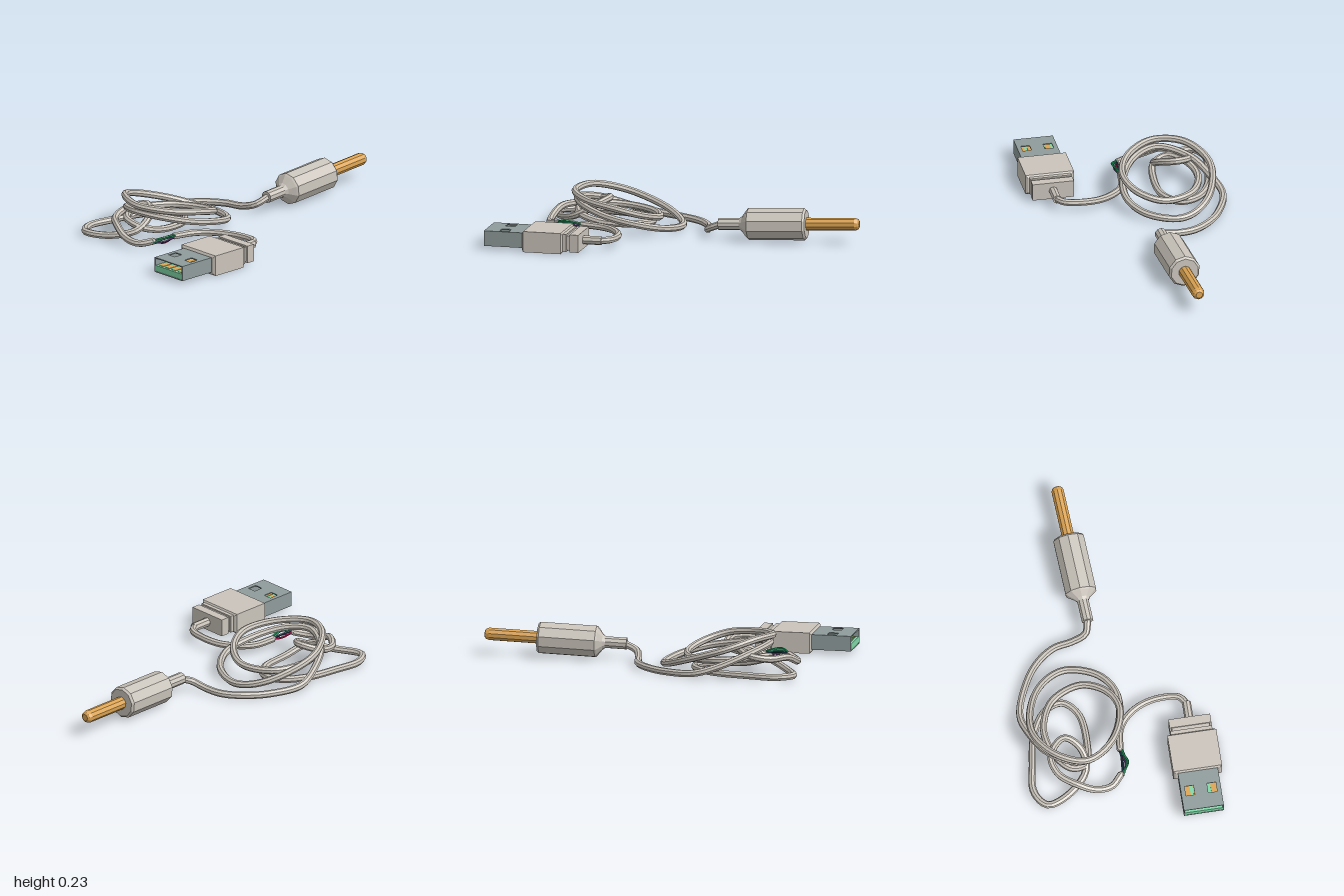
import * as THREE from 'three';

const mat = (color, extra = {}) => new THREE.MeshStandardMaterial({ color, flatShading: true, ...extra });
const GREY = mat(0xcac4bb), STEEL = mat(0x8f9b9b), GOLD = mat(0xdda452), GREEN = mat(0x80d8a8);

function add(parent, name, geometry, material, x = 0, y = 0, z = 0) {
  const mesh = new THREE.Mesh(geometry, material);
  mesh.name = name;
  mesh.position.set(x, y, z);
  parent.add(mesh);
  return mesh;
}

// Tube through a short list of [x, y, z] points
function tube(parent, name, points, radius, steps, sides, material) {
  const curve = new THREE.CatmullRomCurve3(points.map(p => new THREE.Vector3(...p)));
  return add(parent, name, new THREE.TubeGeometry(curve, steps, radius, sides), material);
}

const lathe = (profile, sides) =>
  new THREE.LatheGeometry(profile.map(p => new THREE.Vector2(...p)), sides);

function rect(w, h, x = 0, y = 0, Type = THREE.Shape) {
  const s = new Type();
  s.moveTo(x - w / 2, y - h / 2);
  s.lineTo(x + w / 2, y - h / 2);
  s.lineTo(x + w / 2, y + h / 2);
  s.lineTo(x - w / 2, y + h / 2);
  s.closePath();
  return s;
}

// Flat rectangular plug with moulded grip, pointing to +z
function flatPlug() {
  const g = new THREE.Group();
  g.name = 'flatPlug';
  g.position.x = 0.403;
  const bevel = 0.012;
  const grip = new THREE.ExtrudeGeometry(rect(0.275 - 2 * bevel, 0.118 - 2 * bevel), {
    depth: 0.215, bevelEnabled: true, bevelSize: bevel, bevelThickness: 0.008, bevelSegments: 1,
  });
  add(g, 'grip', grip, GREY, 0, 0.06, 0.553);
  // Stepped collar behind the grip
  [[0.235, 0.1, 0.455, 0.505], [0.212, 0.082, 0.505, 0.525], [0.235, 0.1, 0.525, 0.546]].forEach(([w, h, a, b]) =>
    add(g, 'collar', new THREE.BoxGeometry(w, h, b - a), GREY, 0, 0.06, (a + b) / 2));
  const relief = add(g, 'strainRelief', new THREE.CylinderGeometry(0.025, 0.025, 0.11, 8), GREY, 0, 0.06, 0.405);
  relief.rotation.x = Math.PI / 2;
  // Metal shell: top plate with two windows, floor and sides
  const top = rect(0.225, 0.23);
  for (const s of [-1, 1]) top.holes.push(rect(0.05, 0.056, s * 0.063, -0.002, THREE.Path));
  const plate = new THREE.ExtrudeGeometry(top, { depth: 0.006, bevelEnabled: false });
  plate.rotateX(-Math.PI / 2);
  add(g, 'shellTop', plate, STEEL, 0, 0.099, 0.885);
  add(g, 'shellFloor', new THREE.BoxGeometry(0.225, 0.006, 0.23), STEEL, 0, 0.022, 0.885);
  for (const s of [-1, 1])
    add(g, 'shellSide', new THREE.BoxGeometry(0.006, 0.086, 0.23), STEEL, s * 0.1095, 0.062, 0.885);
  // Contact tongue inside the shell
  add(g, 'tongue', new THREE.BoxGeometry(0.213, 0.034, 0.222), GREEN, 0, 0.041, 0.887);
  for (const x of [-0.074, -0.025, 0.025, 0.074])
    add(g, 'contact', new THREE.BoxGeometry(0.032, 0.003, 0.2), GOLD, x, 0.059, 0.885);
  return g;
}

// Round plug, built along its axis from the cable end to the tip
function roundPlug() {
  const g = new THREE.Group();
  g.name = 'roundPlug';
  const start = new THREE.Vector3(-0.07, 0.086, -0.2);
  const end = new THREE.Vector3(-0.122, 0.118, -1);
  g.position.copy(start);
  g.quaternion.setFromUnitVectors(new THREE.Vector3(0, 1, 0), end.sub(start).normalize());
  add(g, 'barrel', lathe([[0, 0], [0.034, 0], [0.034, 0.12], [0.045, 0.135], [0.082, 0.163],
    [0.091, 0.172], [0.091, 0.488], [0.08, 0.5], [0, 0.5]], 10), GREY);
  add(g, 'pin', lathe([[0.036, 0.49], [0.036, 0.775], [0.03, 0.792], [0.019, 0.8], [0, 0.8]], 10), GOLD);
  return g;
}

export function createModel() {
  const model = new THREE.Group();
  model.name = 'adapterCable';
  model.add(flatPlug(), roundPlug());

  // Short run from the flat plug to the frayed gap
  tube(model, 'shortCable', [
    [0.403, 0.06, 0.45], [0.403, 0.06, 0.37], [0.37, 0.06, 0.315], [0.27, 0.055, 0.3], [0.16, 0.05, 0.32],
    [0.07, 0.05, 0.375], [0.015, 0.05, 0.45], [-0.005, 0.055, 0.57],
  ], 0.02, 50, 8, GREY);

  // Long coiled run from the gap to the round plug
  tube(model, 'coiledCable', [
    [-0.02, 0.055, 0.715], [-0.08, 0.04, 0.772], [-0.17, 0.055, 0.785], [-0.27, 0.095, 0.755], [-0.37, 0.1, 0.675],
    // small inner arch
    [-0.395, 0.12, 0.57], [-0.31, 0.15, 0.488], [-0.225, 0.12, 0.55], [-0.21, 0.06, 0.66],
    // low outer bend
    [-0.31, 0.03, 0.77], [-0.45, 0.03, 0.825], [-0.515, 0.03, 0.74], [-0.5, 0.03, 0.58], [-0.46, 0.03, 0.39],
    [-0.38, 0.03, 0.27], [-0.28, 0.03, 0.24], [-0.2, 0.03, 0.32], [-0.18, 0.035, 0.5], [-0.205, 0.07, 0.63],
    // first turn of the coil
    [-0.29, 0.1, 0.655], [-0.38, 0.1, 0.55], [-0.41, 0.09, 0.4], [-0.34, 0.08, 0.24], [-0.17, 0.085, 0.17],
    [-0.03, 0.12, 0.24], [0.025, 0.16, 0.37], [-0.04, 0.185, 0.55], [-0.2, 0.205, 0.66], [-0.37, 0.21, 0.6],
    // second turn of the coil
    [-0.48, 0.16, 0.43], [-0.44, 0.09, 0.21], [-0.34, 0.045, 0.09], [-0.23, 0.03, 0.05], [-0.06, 0.045, 0.11],
    [0.025, 0.075, 0.24], [0.01, 0.11, 0.43], [-0.09, 0.15, 0.59], [-0.23, 0.165, 0.65], [-0.4, 0.13, 0.56],
    [-0.49, 0.07, 0.41], [-0.525, 0.035, 0.28], [-0.47, 0.025, 0.11], [-0.39, 0.025, -0.01], [-0.28, 0.025, -0.09],
    [-0.17, 0.03, -0.112], [-0.09, 0.055, -0.14], [-0.07, 0.085, -0.21],
  ], 0.0205, 280, 8, GREY);

  // Caps where the jacket is cut
  add(model, 'cutEnd', new THREE.SphereGeometry(0.019, 8, 5), GREY, -0.005, 0.055, 0.568);
  add(model, 'cutEnd', new THREE.SphereGeometry(0.019, 8, 5), GREY, -0.02, 0.055, 0.717);

  // Bare wires bridging the gap, each bowing its own way
  [[0x1f9d5c, 0.022, 0.024], [0xb01850, -0.006, -0.018], [0x274a5c, -0.012, 0.008],
    [0x2b8f6a, 0.014, 0.012], [0x5a3a78, 0.008, -0.008]].forEach(([color, dx, dy], i) => {
    const a = i * Math.PI * 0.4, ox = Math.cos(a) * 0.01, oy = Math.sin(a) * 0.01;
    tube(model, 'innerWire', [
      [-0.005 + ox, 0.055 + oy, 0.555], [0.002 + dx * 0.5, 0.055 + dy * 0.7, 0.61],
      [0.005 + dx, 0.055 + dy, 0.66], [-0.02 - ox, 0.055 + oy, 0.73],
    ], 0.006, 14, 5, mat(color));
  });
  return model;
}
